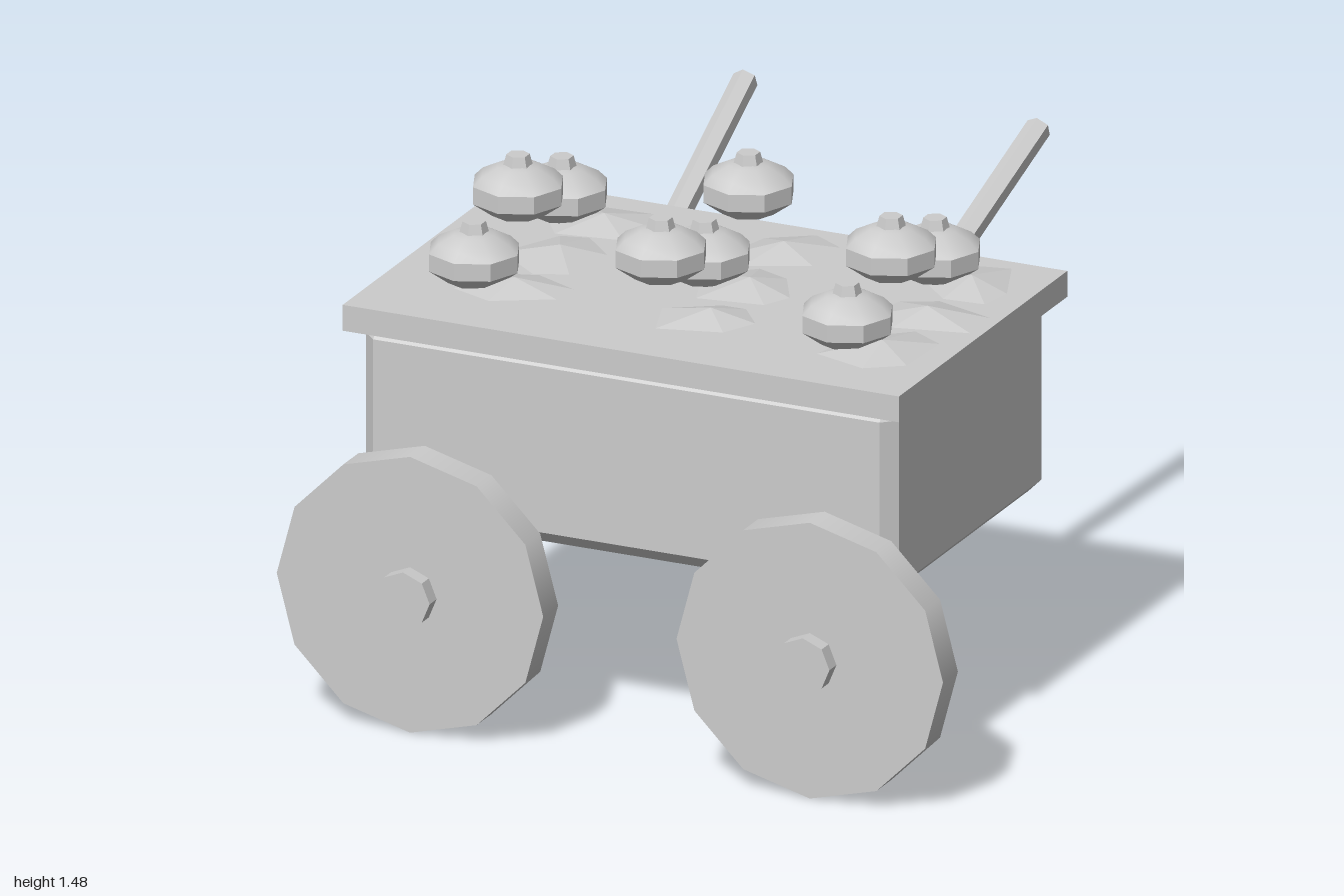
import * as THREE from 'three';
import { toCreasedNormals } from 'three/addons/utils/BufferGeometryUtils.js';
import { ConvexGeometry } from 'three/addons/geometries/ConvexGeometry.js';

const grey = new THREE.MeshStandardMaterial({ color: 0xcccccc });
grey.name = 'plain grey';

function add(parent, name, geometry, x = 0, y = 0, z = 0) {
  const mesh = new THREE.Mesh(geometry, grey);
  mesh.name = name;
  mesh.position.set(x, y, z);
  parent.add(mesh);
  return mesh;
}

// Box with all edges cut at 45 degrees by c
function chamferedBox(w, h, d, c) {
  const points = [];
  for (const sx of [-1, 1]) for (const sy of [-1, 1]) for (const sz of [-1, 1]) {
    for (let axis = 0; axis < 3; axis++) {
      const half = [w / 2 - c, h / 2 - c, d / 2 - c];
      half[axis] += c;
      points.push(new THREE.Vector3(sx * half[0], sy * half[1], sz * half[2]));
    }
  }
  return new ConvexGeometry(points);
}

// Shallow double pyramid over an irregular outline, in hundredths of a unit
function leafGeometry(outline) {
  const rim = [];
  const centre = [0, 0];
  const n = outline.length / 2;
  for (let i = 0; i < n; i++) {
    const p = [outline[2 * i] / 100, outline[2 * i + 1] / 100];
    rim.push(p);
    centre[0] += p[0] / n;
    centre[1] += p[1] / n;
  }
  const pos = [];
  rim.forEach((a, i) => {
    const b = rim[(i + 1) % n];
    pos.push(centre[0], 0.055, centre[1], b[0], 0.025, b[1], a[0], 0.025, a[1]);
    pos.push(centre[0], 0.002, centre[1], a[0], 0.025, a[1], b[0], 0.025, b[1]);
  });
  const g = new THREE.BufferGeometry();
  g.setAttribute('position', new THREE.Float32BufferAttribute(pos, 3));
  g.computeVertexNormals();
  return g;
}

// Leaf outlines beside each pot, left column to right, back row to front
const LEAVES = [
  [22, -12, 28, -2, 23, 10, 4, 13, -3, 3, 3, -11],
  [6, -14, 14, -16, 24, -6, 21, 12, 12, 16, -3, 4],
  [14, -12, 27, -6, 26, 3, 10, 12, -3, 7, -2, -7],
  [13, -16, 23, -10, 22, 6, 5, 14, -3, 8, 1, -8],
  [10, -14, 20, -10, 27, 3, 23, 11, 4, 14, -2, -3],
  [13, -12, 20, -12, 27, -3, 22, 7, 4, 12, -1, -3],
  [16, -15, 23, 3, 21, 13, 9, 14, -2, 3, 2, -12],
  [9, -12, 27, -6, 27, 7, 6, 12, -3, 5, -1, -7],
  [13, -16, 23, -10, 22, 9, 12, 16, -4, 11, 0, -5],
];

export function createModel() {
  const cart = new THREE.Group();
  cart.name = 'cart';

  // Body and lid
  add(cart, 'body', chamferedBox(1.6, 0.56, 0.99, 0.04), 0, 0.84, 0.285);
  add(cart, 'tabletop', new THREE.BoxGeometry(1.67, 0.075, 1.075), 0, 1.1425, 0.2775);

  // Wheels with hubs
  for (const side of [-1, 1]) {
    const wheel = new THREE.Group();
    wheel.name = side > 0 ? 'leftWheel' : 'rightWheel';
    wheel.position.set(side * 0.6, 0.4, 0);
    const disc = new THREE.CylinderGeometry(0.4, 0.4, 0.095, 12).rotateX(Math.PI / 2);
    const hub = new THREE.CylinderGeometry(0.08, 0.08, 0.06, 8).rotateX(Math.PI / 2);
    add(wheel, 'disc', disc, 0, 0, 0.8375);
    add(wheel, 'hub', toCreasedNormals(hub, 0.5), 0, 0, 0.9);
    cart.add(wheel);
  }

  // Push handles, slanting up and outward at the back
  for (const side of [-1, 1]) {
    const from = new THREE.Vector3(side * 0.395, 1.0, -0.2);
    const to = new THREE.Vector3(side * 0.44, 1.31, -0.918);
    const dir = to.clone().sub(from);
    const bar = new THREE.CylinderGeometry(0.036, 0.036, dir.length(), 6);
    const handle = add(cart, side > 0 ? 'leftHandle' : 'rightHandle', toCreasedNormals(bar, 0.5));
    handle.position.copy(from).add(to).multiplyScalar(0.5);
    handle.quaternion.setFromUnitVectors(new THREE.Vector3(0, 1, 0), dir.normalize());
  }

  // Lidded pots at two alternating heights, each with a leaf beside it
  const profile = [[0, 0], [0.075, 0], [0.13, 0.04], [0.13, 0.09], [0.105, 0.115], [0.06, 0.137], [0, 0.148]]
    .map(([r, y]) => new THREE.Vector2(r, y));
  const potGeometry = toCreasedNormals(new THREE.LatheGeometry(profile, 8), 0.6);
  const knobGeometry = toCreasedNormals(new THREE.CylinderGeometry(0.032, 0.043, 0.04, 6), 0.5);
  for (let col = 0; col < 3; col++) {
    for (let row = 0; row < 3; row++) {
      const x = (col - 1) * 0.56, z = row * 0.28;
      const pot = new THREE.Group();
      pot.name = 'pot';
      pot.position.set(x, (col + row) % 2 ? 1.31 : 1.21, z);
      add(pot, 'potBody', potGeometry);
      add(pot, 'potKnob', knobGeometry, 0, 0.15, 0);
      cart.add(pot);
      add(cart, 'leaf', leafGeometry(LEAVES[col * 3 + row]), x, 1.18, z);
    }
  }
  return cart;
}
